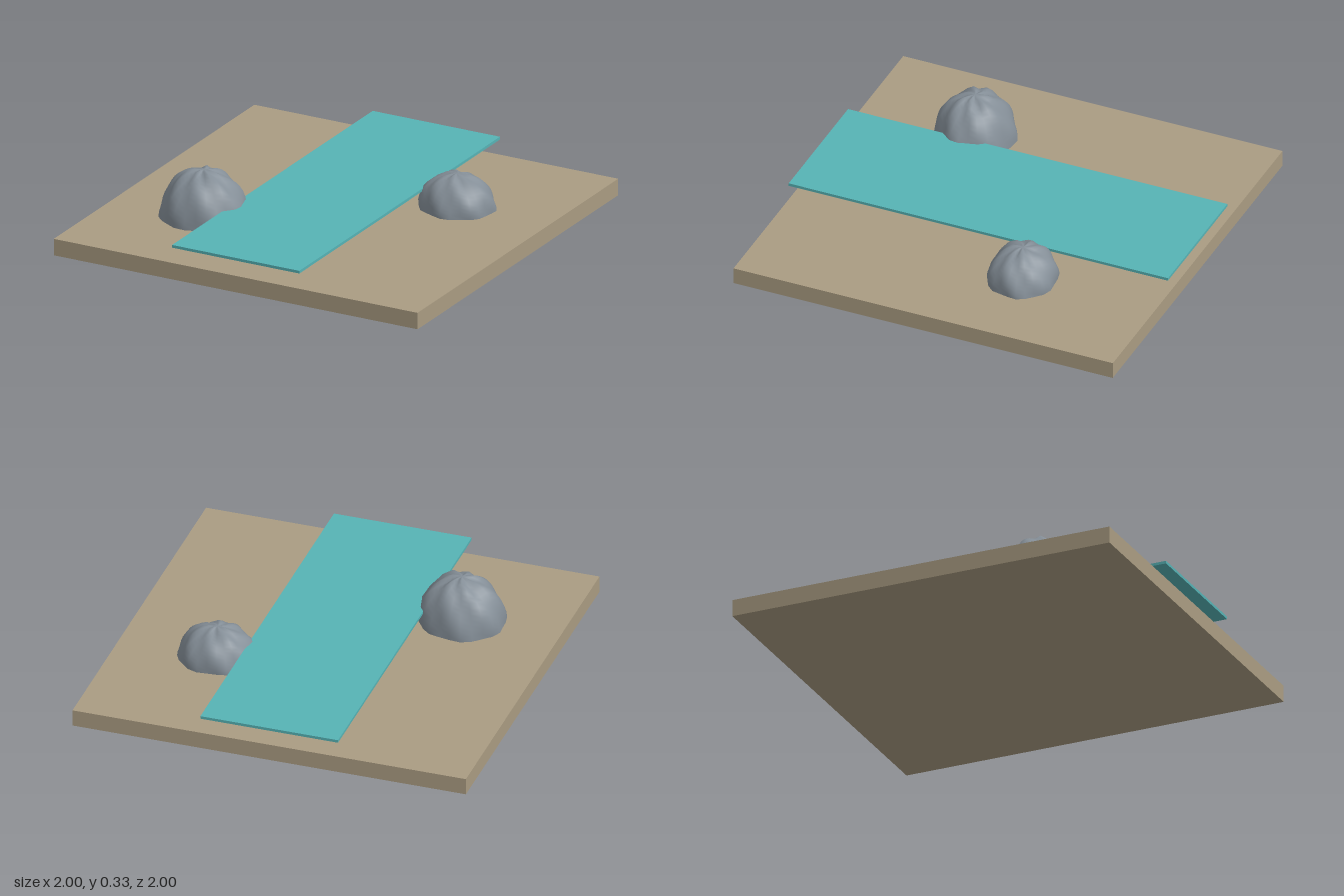
import * as THREE from 'three';
import { mergeVertices } from 'three/addons/utils/BufferGeometryUtils.js';

const BASE_H = 0.085;

const earth = new THREE.MeshStandardMaterial({ color: 0xaa9c82 });
earth.name = 'earth';
const teal = new THREE.MeshStandardMaterial({ color: 0x56b3b5 });
teal.name = 'water teal';
const stone = new THREE.MeshStandardMaterial({ color: 0x858f98 });
stone.name = 'stone grey';

// Flat slab with its underside at the given height
function slab(name, w, h, d, bottom, material) {
  const mesh = new THREE.Mesh(new THREE.BoxGeometry(w, h, d), material);
  mesh.name = name;
  mesh.position.y = bottom + h / 2;
  return mesh;
}

// Half-dome boulder with shallow ridges that swirl up to the crown
function boulder(name, x, z, rx, ry, rz, phase) {
  let geo = new THREE.SphereGeometry(1, 24, 14, 0, Math.PI * 2, 0, Math.PI / 2);
  geo.deleteAttribute('uv');
  geo.deleteAttribute('normal');
  geo = mergeVertices(geo, 1e-4);
  const pos = geo.attributes.position;
  const v = new THREE.Vector3();
  for (let i = 0; i < pos.count; i++) {
    v.fromBufferAttribute(pos, i);
    const around = Math.atan2(v.z, v.x);
    const down = Math.acos(THREE.MathUtils.clamp(v.y, -1, 1));
    const fade = Math.min(1, down / 0.3);
    const ridge = 0.03 * Math.sin(7 * around + 5 * down + phase)
      + 0.02 * Math.sin(3 * around - 4 * down + phase * 2);
    v.multiplyScalar(1 + ridge * fade);
    pos.setXYZ(i, v.x * rx, Math.max(0, v.y) * ry, v.z * rz);
  }
  geo.computeVertexNormals();
  const mesh = new THREE.Mesh(geo, stone);
  mesh.name = name;
  mesh.position.set(x, BASE_H, z);
  return mesh;
}

export function createModel() {
  const model = new THREE.Group();
  model.name = 'riverTile';

  // Ground and the raised sheet of water
  model.add(slab('ground', 2, BASE_H, 2, 0, earth));
  model.add(slab('water', 0.7, 0.014, 2, 0.164, teal));

  // Boulders on the banks
  model.add(boulder('largeBoulder', -0.505, 0.4, 0.217, 0.247, 0.197, 0.6));
  model.add(boulder('smallBoulder', 0.5, -0.303, 0.192, 0.175, 0.17, 2.1));

  return model;
}
